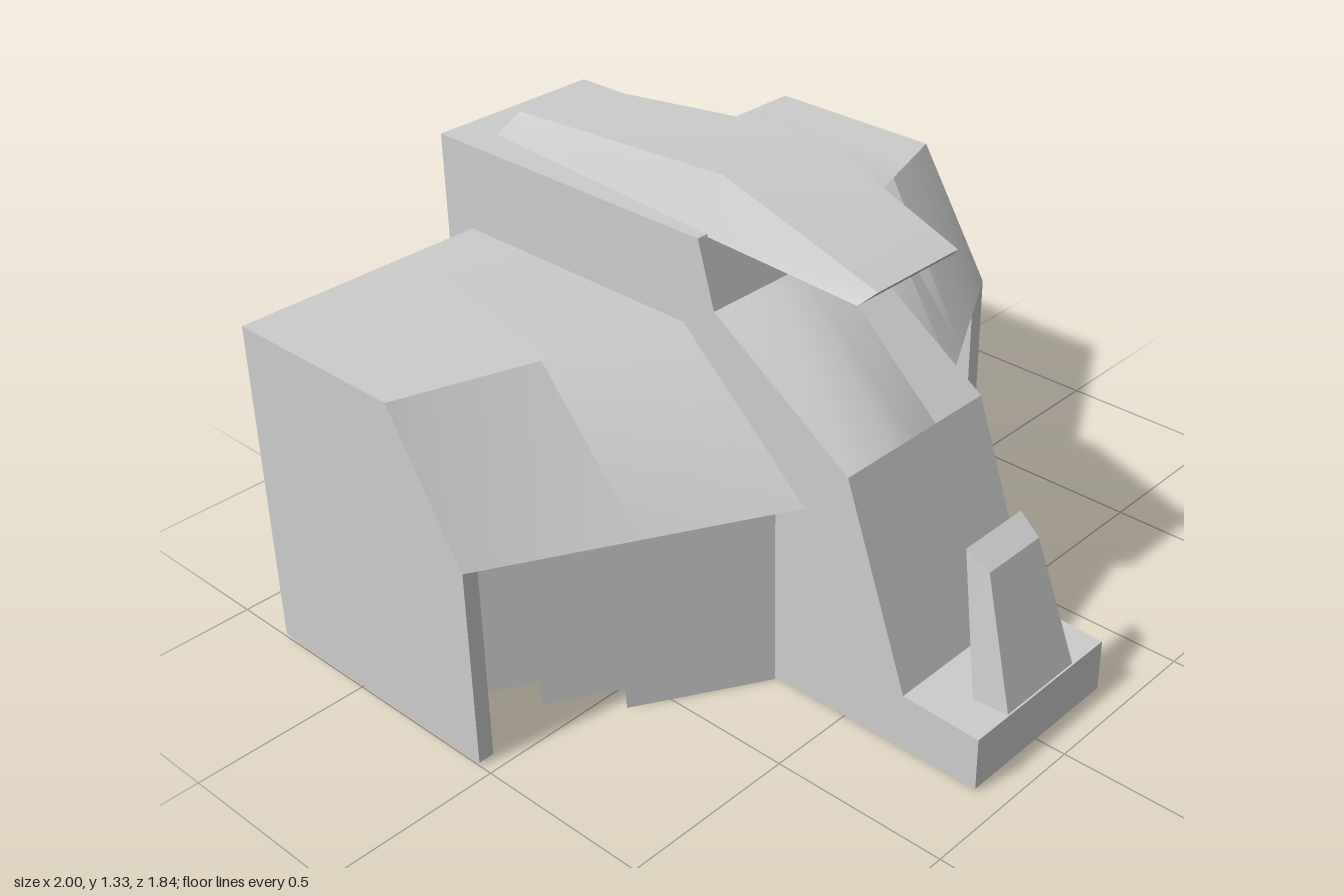
import * as THREE from 'three';
import { toCreasedNormals } from 'three/addons/utils/BufferGeometryUtils.js';

const material = new THREE.MeshStandardMaterial({ color: 0xcccccc, side: THREE.DoubleSide });

function addMesh(parent, name, geometry) {
  const mesh = new THREE.Mesh(geometry, material);
  mesh.name = name;
  parent.add(mesh);
  return mesh;
}

// Skin between rows of points; each row has the same number of points.
function skin(rows, crease = 0.3) {
  const n = rows[0].length;
  const index = [];
  for (let i = 0; i < rows.length - 1; i++) {
    for (let j = 0; j < n - 1; j++) {
      const a = i * n + j, b = a + n;
      index.push(a, b, a + 1, b, b + 1, a + 1);
    }
  }
  const geometry = new THREE.BufferGeometry();
  geometry.setAttribute('position', new THREE.Float32BufferAttribute(rows.flat(2), 3));
  geometry.setIndex(index);
  return toCreasedNormals(geometry, crease);
}

// Flat side profile given as [z, y], placed from x to x + depth.
function sidePlate(profile, x, depth = 0) {
  const shape = new THREE.Shape(profile.map(([z, y]) => new THREE.Vector2(-z, y)));
  const geometry = depth
    ? new THREE.ExtrudeGeometry(shape, { depth, bevelEnabled: false })
    : new THREE.ShapeGeometry(shape);
  return geometry.rotateY(Math.PI / 2).translate(x, 0, 0);
}

// Closed prism: a ring of four corners per station, capped at both ends.
function loft(rings, crease) {
  const cap = (r) => r.map(() => r.reduce((s, p) => s.map((v, k) => v + p[k] / r.length), [0, 0, 0]));
  const all = [cap(rings[0]), ...rings, cap(rings[rings.length - 1])];
  return skin(all.map((r) => [...r, r[0]]), crease);
}

// Four corners: lower half-width, y, z, then upper half-width, y, z.
const ring = (w0, y0, z0, w1, y1, z1) => [[w0, y0, z0], [w1, y1, z1], [-w1, y1, z1], [-w0, y0, z0]];

function buildBody(root) {
  const body = new THREE.Group();
  body.name = 'centralBody';
  const w = 0.26;
  const profile = [[0.92, 0.01], [0.92, 0.16], [0.69, 0.17], [0.5, 0.72], [0.07, 1.01],
    [0.02, 1.19], [-0.92, 1.19], [-0.92, 0.01]];
  for (const x of [-w, w]) addMesh(body, 'bodySideWall', sidePlate(profile, x));
  // Cross plates, leaving the sloping bay and the underside open
  const plate = (from, to) => skin(profile.slice(from, to).map(([z, y]) => [[-w, y, z], [w, y, z]]));
  addMesh(body, 'nosePlates', plate(0, 4));
  addMesh(body, 'upperPlates', plate(4, 8));
  root.add(body);
}

function buildWings(root) {
  // Roof and rear wall run through the body as one swept shell
  const rows = [];
  for (let i = -8; i <= 8; i++) {
    const x = i / 8, a = Math.abs(x);
    const ridge = 0.05 - 0.32 * a, front = 0.51 - 0.55 * a;
    rows.push([[x, 0.01, -0.82], [x, 0.945, -0.82], [x, 0.945, ridge], [x, 0.575, front]]);
  }
  addMesh(root, 'wingShell', skin(rows, 0.9));

  const endProfile = [[-0.82, 0.01], [-0.82, 0.945], [-0.27, 0.945], [-0.04, 0.575], [-0.04, 0.01]];
  // Stepped front panels: start x, setback, outer edge as [x, y]
  const panels = [
    [0.26, 0, [[0.6, 0], [0.61, 0.19], [0.715, 0.36], [0.715, 0.575]]],
    [0.46, 0.09, [[0.735, 0], [0.75, 0.19], [0.86, 0.36], [0.86, 0.575]]],
    [0.43, 0.18, [[0.955, 0.01], [0.955, 0.19], [0.955, 0.36], [0.955, 0.575]]],
  ];
  const panelZ = (x, setback) => 0.27 - 0.59 * (x - 0.26) - setback;

  for (const side of [-1, 1]) {
    const wing = new THREE.Group();
    wing.name = side > 0 ? 'leftWing' : 'rightWing';
    addMesh(wing, 'wingEndWall', sidePlate(endProfile, side > 0 ? 0.955 : -1, 0.045));
    for (const [start, setback, edge] of panels) {
      addMesh(wing, 'wingFrontPanel', skin(edge.map(([x, y]) => [
        [side * start, y, panelZ(start, setback)],
        [side * x, y, panelZ(x, setback)],
      ])));
    }
    // Underside of the roof overhang
    addMesh(wing, 'wingSoffit', skin([0.26, 1].map((x) => [
      [side * x, 0.575, 0.51 - 0.55 * x],
      [side * x, 0.575, panelZ(x, 0.18)],
    ])));
    root.add(wing);
  }
}

export function createModel() {
  const root = new THREE.Group();
  root.name = 'model';
  buildBody(root);
  buildWings(root);

  // Faceted hood on top, drooping over the front bay
  addMesh(root, 'hood', loft([
    ring(0.165, 1.19, -0.805, 0.12, 1.255, -0.76),
    ring(0.23, 1.185, 0.01, 0.17, 1.325, 0.02),
    ring(0.18, 1.13, 0.45, 0.15, 1.165, 0.485),
  ], 0.7));

  // Tapered upright fin on the nose
  addMesh(root, 'noseFin', loft([
    ring(0.15, 0.16, 0.82, 0.135, 0.16, 0.915),
    ring(0.11, 0.555, 0.745, 0.1, 0.51, 0.81),
  ], 0.3));
  return root;
}
